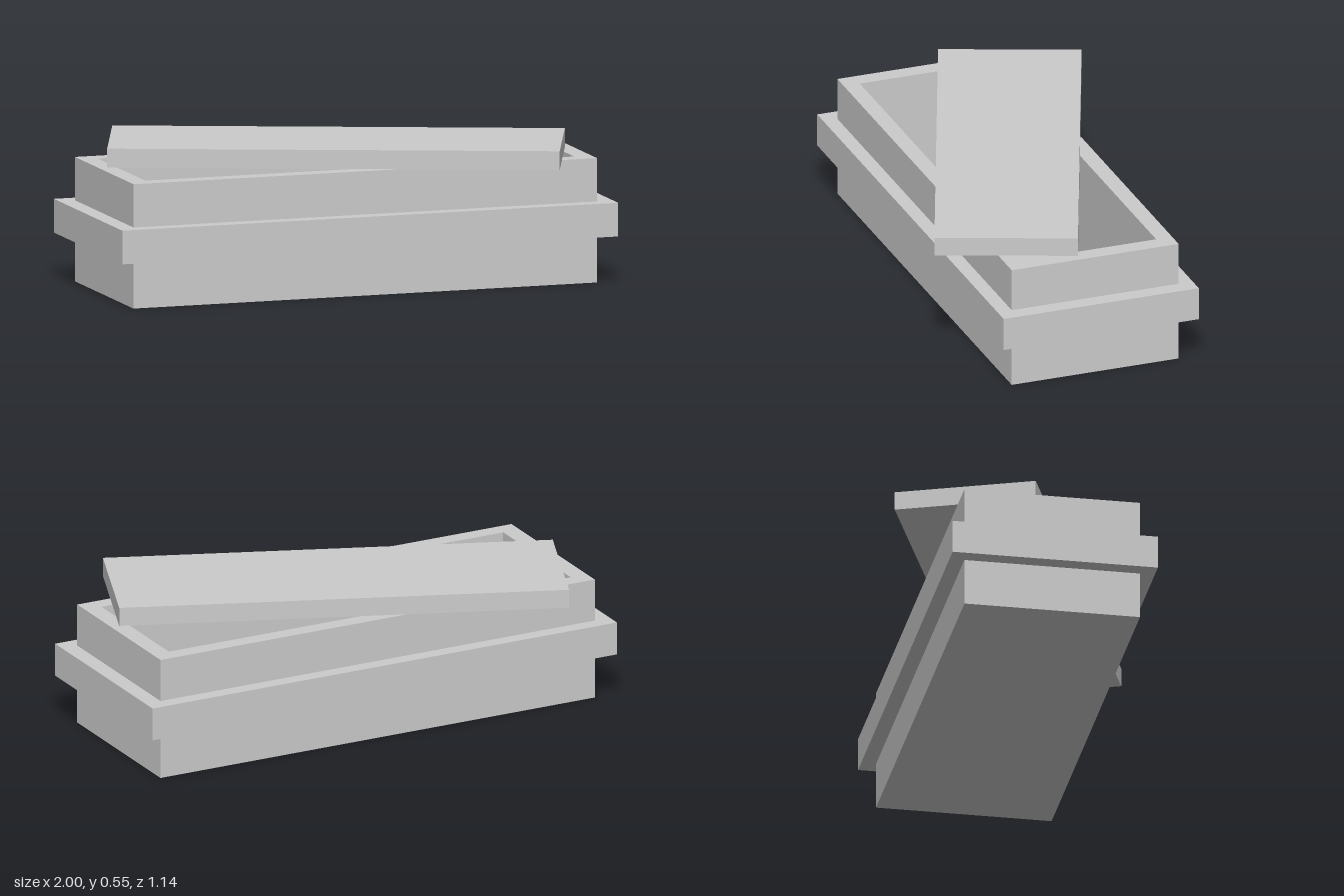
import * as THREE from 'three';

const material = new THREE.MeshStandardMaterial({ color: 0xcccccc, flatShading: true });

function add(group, name, geometry, y) {
  const mesh = new THREE.Mesh(geometry, material);
  mesh.name = name;
  mesh.position.y = y;
  group.add(mesh);
  return mesh;
}

function rectangle(PathType, w, d) {
  return new PathType([[-1, -1], [1, -1], [1, 1], [-1, 1]]
    .map(([x, y]) => new THREE.Vector2(x * w / 2, y * d / 2)));
}

// Rectangular ring lying flat, rising from y = 0 to its height
function frame(w, d, innerW, innerD, height) {
  const shape = rectangle(THREE.Shape, w, d);
  shape.holes.push(rectangle(THREE.Path, innerW, innerD));
  return new THREE.ExtrudeGeometry(shape, { depth: height, bevelEnabled: false })
    .rotateX(-Math.PI / 2);
}

export function createModel() {
  const group = new THREE.Group();
  group.name = 'openStoneChest';

  const W = 1.87, D = 0.68, innerW = 1.73, innerD = 0.55, floor = 0.07, top = 0.48;

  // Hollow body: floor slab and four walls
  add(group, 'floor', new THREE.BoxGeometry(W, floor, D), floor / 2);
  add(group, 'walls', frame(W, D, innerW, innerD, top - floor), floor);

  // Projecting band around the middle
  add(group, 'band', frame(2, 0.795, W, D, 0.13), 0.183);

  // Lid turned askew on the rim
  const lid = add(group, 'lid', new THREE.BoxGeometry(1.725, 0.073, 0.547), top + 0.0375);
  lid.rotation.y = -0.371;

  return group;
}
